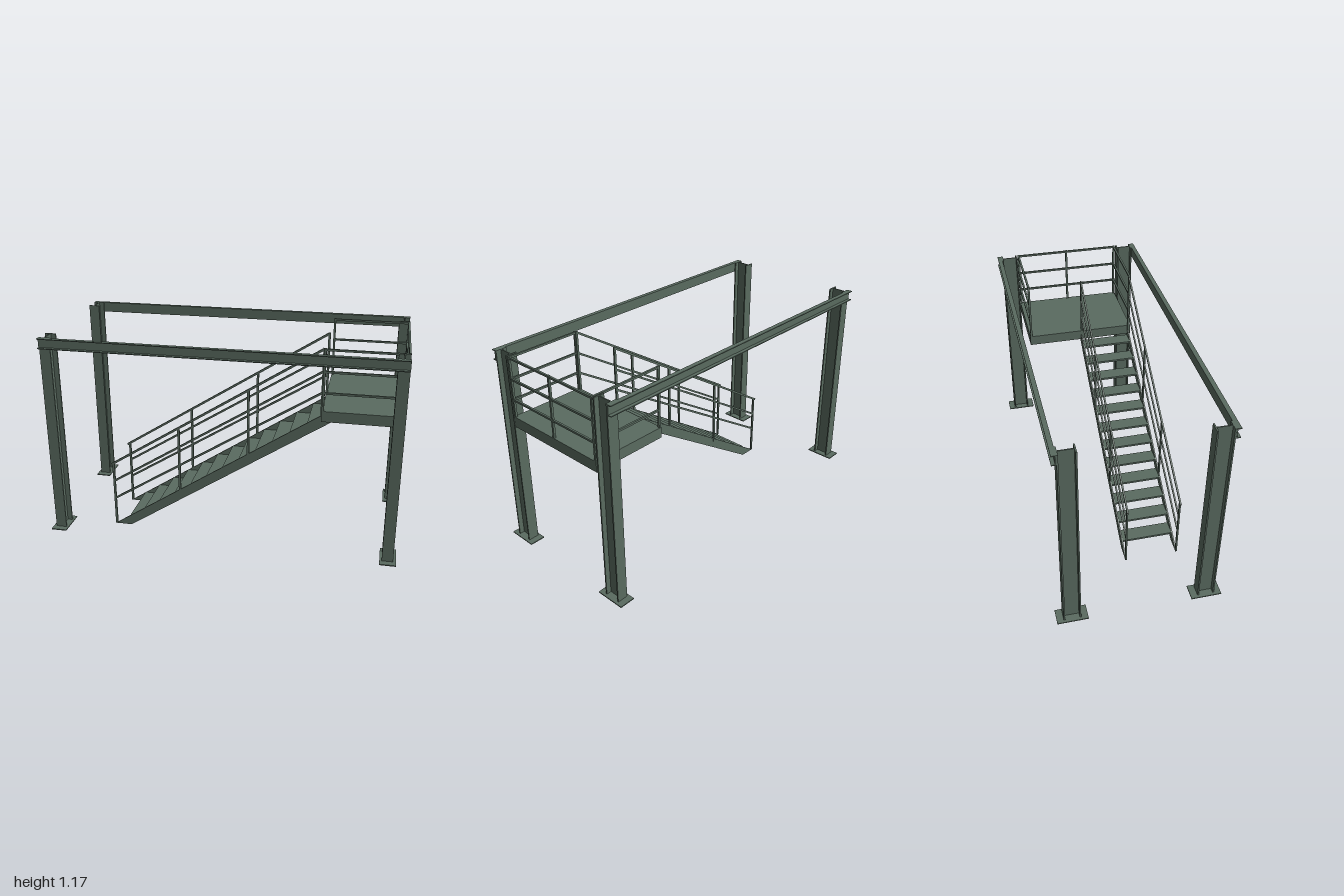
import * as THREE from 'three';

export function createModel() {
  const model = new THREE.Group();
  model.name = 'stairPlatform';
  const steel = new THREE.MeshStandardMaterial({ color: 0x5a6b60 });

  const group = (name, parent = model) => {
    const g = new THREE.Group();
    g.name = name;
    parent.add(g);
    return g;
  };
  // Box given by its limits on each axis
  const box = (parent, name, [x0, x1], [y0, y1], [z0, z1]) => {
    const m = new THREE.Mesh(new THREE.BoxGeometry(x1 - x0, y1 - y0, z1 - z0), steel);
    m.position.set((x0 + x1) / 2, (y0 + y1) / 2, (z0 + z1) / 2);
    m.name = name;
    parent.add(m);
    return m;
  };
  // Square bar between two points
  const bar = (parent, name, a, b, t = 0.012, depth = t) => {
    const p = new THREE.Vector3(...a), q = new THREE.Vector3(...b);
    const d = q.clone().sub(p);
    const m = new THREE.Mesh(new THREE.BoxGeometry(t, d.length(), depth), steel);
    m.position.copy(p).add(q).multiplyScalar(0.5);
    m.quaternion.setFromUnitVectors(new THREE.Vector3(0, 1, 0), d.normalize());
    m.name = name;
    parent.add(m);
  };
  const span = (a, b) => [Math.min(a, b), Math.max(a, b)];

  const TOP = 1.165;

  // H-section columns on base plates
  for (const sx of [-1, 1]) for (const sz of [-1, 1]) {
    const col = group('column');
    const x = sx * 0.953;
    box(col, 'basePlate', span(sx * 0.91, sx), [0, 0.006], span(sz * 0.287, sz * 0.457));
    box(col, 'innerFlange', [x - 0.031, x + 0.031], [0.006, TOP], span(sz * 0.325, sz * 0.333));
    box(col, 'outerFlange', [x - 0.031, x + 0.031], [0.006, TOP], span(sz * 0.412, sz * 0.42));
    box(col, 'web', [x - 0.003, x + 0.003], [0.006, TOP], span(sz * 0.333, sz * 0.412));
  }

  // Long channel beams, open outwards
  for (const sz of [-1, 1]) {
    const beam = group('channelBeam');
    const X = [-0.985, 0.985];
    box(beam, 'web', X, [1.107, TOP], span(sz * 0.42, sz * 0.426));
    for (const y of [1.107, TOP - 0.005])
      box(beam, 'flange', X, [y, y + 0.005], span(sz * 0.426, sz * 0.445));
  }

  // Landing: deck, edge channels and joists underneath
  const landing = group('landing');
  const [px0, px1, pz] = [0.547, 0.986, 0.32];
  box(landing, 'deck', [px0, px1], [0.812, 0.82], [-pz, pz]);
  for (const s of [-1, 1]) {
    box(landing, 'sideFascia', [px0, px1], [0.76, 0.812], span(s * (pz - 0.007), s * pz));
    box(landing, 'sideFlange', [px0, px1], [0.76, 0.765], span(s * (pz - 0.03), s * (pz - 0.007)));
  }
  for (const x of [px0, px1 - 0.007])
    box(landing, 'endFascia', [x, x + 0.007], [0.76, 0.812], [-pz + 0.007, pz - 0.007]);
  for (const z of [-0.16, 0, 0.16])
    box(landing, 'joist', [px0 + 0.007, px1 - 0.007], [0.765, 0.812], [z - 0.005, z + 0.005]);

  // Landing guard rails on the two sides and the outer end
  const guard = group('landingRailing');
  const [gx0, gx1, gz] = [0.553, 0.979, 0.312];
  const corners = [[gx0, gz], [gx1, gz], [gx1, -gz], [gx0, -gz]];
  for (const [x, z] of [...corners, [gx1, -0.003]])
    bar(guard, 'post', [x, 0.765, z], [x, TOP, z]);
  for (const y of [0.92, 1.038, 1.158])
    for (let i = 0; i < 3; i++) {
      const [a, b] = [corners[i], corners[i + 1]];
      bar(guard, 'rail', [a[0], y, a[1]], [b[0], y, b[1]], 0.011);
    }

  // Stair flight
  const stair = group('stairs');
  const profile = new THREE.Shape([
    [-0.648, 0.003], [-0.553, 0.003], [0.605, 0.76], [0.55, 0.765], [0.547, 0.792],
  ].map(([x, y]) => new THREE.Vector2(x, y)));
  for (const z of [0.006, 0.306]) {
    const side = group('stairSide', stair);
    const stringer = new THREE.Mesh(
      new THREE.ExtrudeGeometry(profile, { depth: 0.008, bevelEnabled: false }), steel);
    stringer.position.z = z - 0.004;
    stringer.name = 'stringer';
    side.add(stringer);
    // Handrail, two lower rails and their posts
    bar(side, 'handrail', [-0.66, 0.387, z], [0.547, 1.16, z], 0.012, 0.009);
    bar(side, 'middleRail', [-0.645, 0.283, z], [0.547, 1.038, z], 0.011, 0.008);
    bar(side, 'lowerRail', [-0.645, 0.17, z], [0.547, 0.92, z], 0.011, 0.008);
    [[0.003, 0.395], [0.25, 0.645], [0.51, 0.902], [0.77, TOP]].forEach(([y0, y1], i) => {
      const x = -0.645 + i * 0.3975;
      bar(side, 'post', [x, y0, z], [x, y1, z], 0.013, 0.009);
    });
  }
  for (let i = 0; i < 12; i++) {
    const x = -0.559 + i * 0.0938, y = 0.06 + i * 0.0617;
    box(stair, 'tread', [x, x + 0.084], [y - 0.006, y + 0.006], [0.01, 0.302]);
  }
  return model;
}
